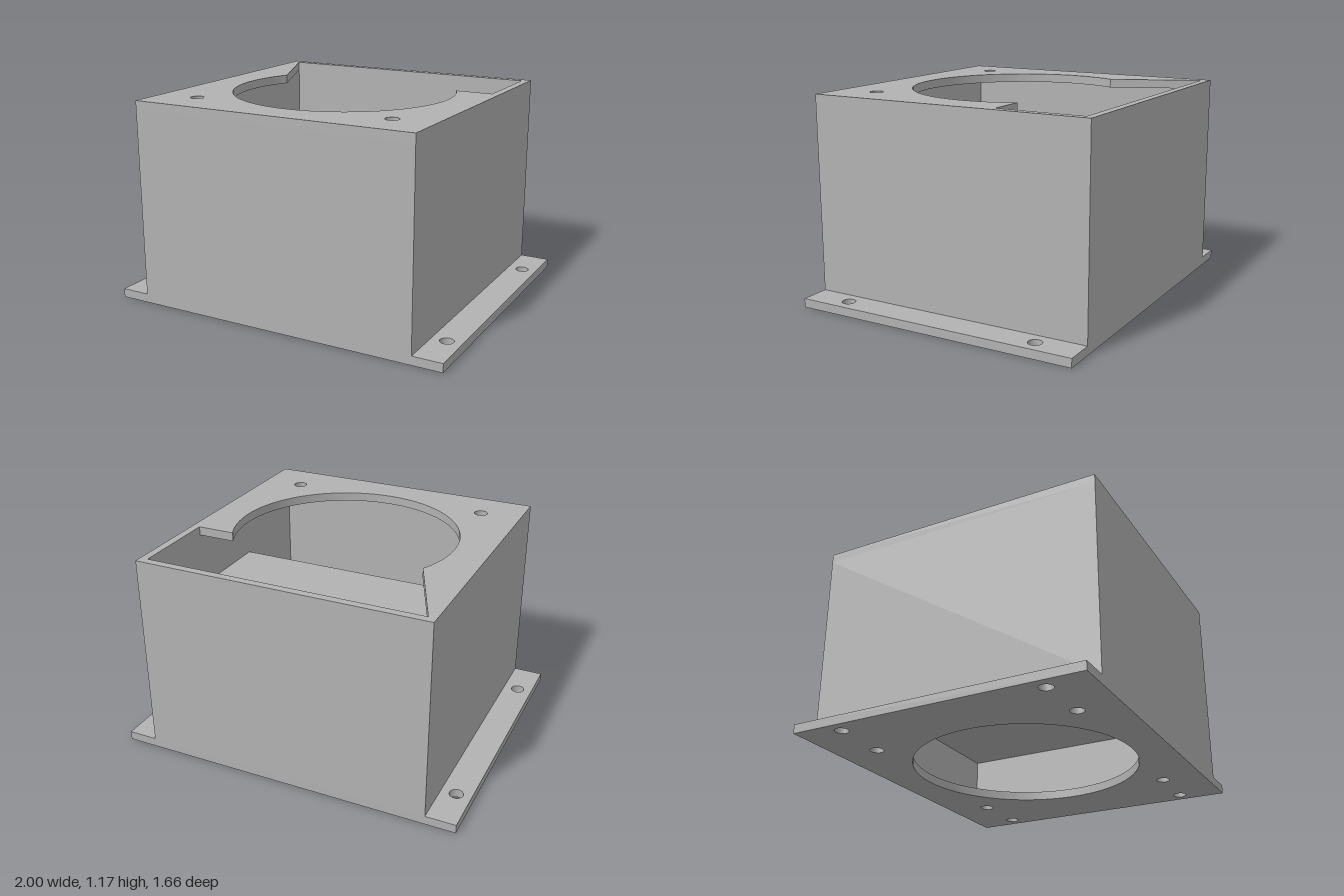
import * as THREE from 'three';
import { toCreasedNormals } from 'three/addons/utils/BufferGeometryUtils.js';

const HALF = 0.83;      // outer half width and depth of the box
const INNER = 0.785;    // inner half width
const PLATE = 0.05;     // thickness of base and lid
const HEIGHT = 1.17;
const BORE = 0.635;     // radius of the large openings

function rect(PathType, x0, y0, x1, y1) {
  const p = new PathType();
  p.moveTo(x0, y0);
  p.lineTo(x1, y0);
  p.lineTo(x1, y1);
  p.lineTo(x0, y1);
  p.closePath();
  return p;
}

function circle(x, y, r) {
  return new THREE.Path().absarc(x, y, r, 0, Math.PI * 2, false);
}

// Extrudes a plan outline upwards (plan y points to the back)
function slab(shape, y0, y1, material, name) {
  const geo = new THREE.ExtrudeGeometry(shape, { depth: y1 - y0, bevelEnabled: false, curveSegments: 64 });
  geo.rotateX(-Math.PI / 2);
  geo.translate(0, y0, 0);
  const mesh = new THREE.Mesh(toCreasedNormals(geo, Math.PI / 6), material);
  mesh.name = name;
  return mesh;
}

export function createModel() {
  const group = new THREE.Group();
  group.name = 'mountingBox';
  const grey = new THREE.MeshStandardMaterial({ color: 0xb2b2b2 });
  grey.name = 'light grey';

  // Base plate with side flanges, round opening and screw holes
  const base = rect(THREE.Shape, -1, -HALF, 1, HALF);
  base.holes.push(circle(0, 0, BORE));
  for (const sx of [-1, 1]) {
    for (const sz of [-1, 1]) {
      base.holes.push(circle(sx * 0.915, sz * 0.585, 0.038));
      base.holes.push(circle(sx * 0.595, sz * 0.595, 0.038));
    }
  }
  group.add(slab(base, 0, PLATE, grey, 'basePlate'));

  // Four walls
  const walls = rect(THREE.Shape, -HALF, -HALF, HALF, HALF);
  walls.holes.push(rect(THREE.Path, -INNER, -INNER, INNER, INNER));
  group.add(slab(walls, PLATE, HEIGHT - PLATE, grey, 'walls'));

  // Lid: round opening joined to a rectangular cut-out at the back
  const lid = rect(THREE.Shape, -HALF, -HALF, HALF, HALF);
  const cutZ = 0.285;
  const a = Math.asin(cutZ / BORE);
  const opening = new THREE.Path();
  opening.moveTo(-INNER, cutZ);
  opening.absarc(0, 0, BORE, Math.PI - a, Math.PI * 2 + a, false);
  opening.lineTo(INNER, cutZ);
  opening.lineTo(INNER, INNER);
  opening.lineTo(-INNER, INNER);
  opening.closePath();
  lid.holes.push(opening);
  for (const sx of [-1, 1]) lid.holes.push(circle(sx * 0.595, -0.595, 0.038));
  group.add(slab(lid, HEIGHT - PLATE, HEIGHT, grey, 'lid'));

  // Inner floor and the raised step at the back
  const floor = rect(THREE.Shape, -INNER, -INNER, INNER, INNER);
  group.add(slab(floor, 0.39, 0.435, grey, 'innerFloor'));
  const step = rect(THREE.Shape, -INNER, -0.245, INNER, INNER);
  group.add(slab(step, 0.435, 0.81, grey, 'raisedStep'));

  return group;
}
